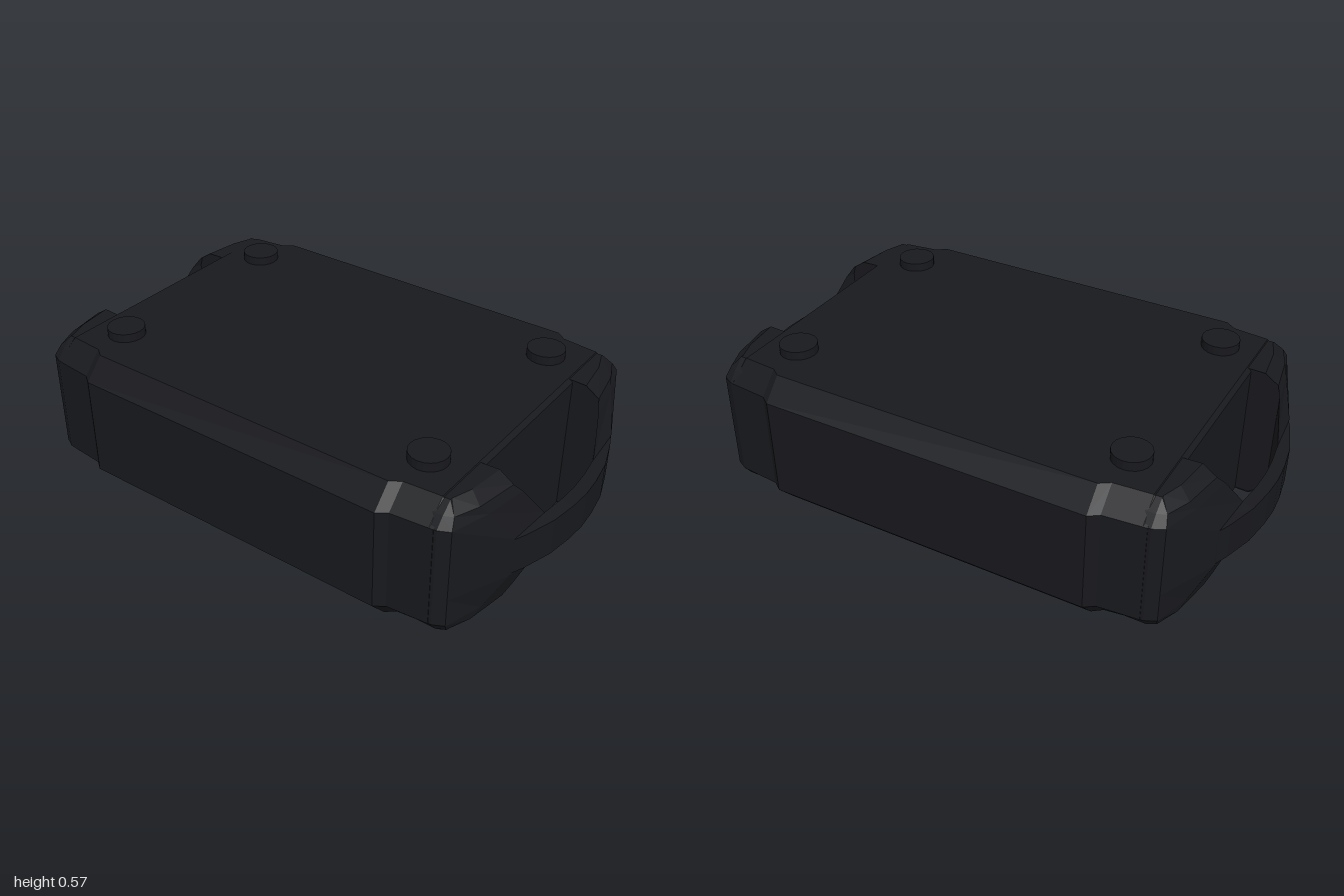
import * as THREE from 'three';

const material = new THREE.MeshStandardMaterial({ color: 0x18191d, flatShading: true });

// Closed solid through rings of [x, y, z] points, capped at both ends
function loft(rings) {
  const n = rings[0].length;
  const tris = [];
  for (let i = 0; i < rings.length - 1; i++) {
    for (let j = 0; j < n; j++) {
      const k = (j + 1) % n;
      const [a, b, c, d] = [rings[i][j], rings[i][k], rings[i + 1][k], rings[i + 1][j]];
      tris.push([a, b, c], [a, c, d]);
    }
  }
  const first = rings[0], last = rings[rings.length - 1];
  for (let j = 1; j < n - 1; j++) {
    tris.push([first[0], first[j + 1], first[j]], [last[0], last[j], last[j + 1]]);
  }
  // Turn every face outward, whichever way the rings run
  const V = (p) => new THREE.Vector3(...p);
  let volume = 0;
  for (const [a, b, c] of tris) volume += V(a).dot(V(b).cross(V(c)));
  const flat = tris.flatMap(([a, b, c]) => (volume < 0 ? [a, c, b] : [a, b, c])).flat();
  const geometry = new THREE.BufferGeometry();
  geometry.setAttribute('position', new THREE.Float32BufferAttribute(flat, 3));
  geometry.computeVertexNormals();
  return geometry;
}

// Chamfered case cross-section at x, with half depth h, bottom lift and top height
function caseRing(x, h, lift, top) {
  const half = [[0.37, lift], [h - 0.07, lift + 0.012], [h, 0.09], [h, 0.46], [h - 0.07, top]];
  const back = half.map(([z, y]) => [-z, y]).reverse();
  return [...half, ...back].map(([z, y]) => [x, y, z]);
}

// Corner guard cross-sections: y, inner x, tip, flank, corner, side depth
const guardLevels = [
  [0.014, 0.83, [0.832, 0.288], [0.815, 0.42], [0.79, 0.49], 0.50],
  [0.05, 0.88, [0.882, 0.288], [0.855, 0.44], [0.82, 0.525], 0.54],
  [0.09, 0.89, [0.90, 0.257], [0.873, 0.413], [0.83, 0.55], 0.57],
  [0.195, 0.89, [0.94, 0.17], [0.925, 0.34], [0.83, 0.55], 0.57],
  [0.34, 0.89, [0.94, 0.17], [0.925, 0.34], [0.83, 0.55], 0.57],
  [0.46, 0.89, [0.90, 0.257], [0.873, 0.413], [0.83, 0.55], 0.57],
  [0.495, 0.88, [0.882, 0.288], [0.855, 0.44], [0.82, 0.525], 0.54],
  [0.529, 0.83, [0.832, 0.288], [0.815, 0.42], [0.79, 0.49], 0.50],
];

function guardGeometry(sx, sz) {
  return loft(guardLevels.map(([y, inner, tip, flank, corner, side]) =>
    [[0.7, 0.295], [inner, 0.295], tip, flank, corner, [0.79, side], [0.7, side]]
      .map(([x, z]) => [sx * x, y, sz * z])));
}

// Bowed grip: cross-sections follow the outer and inner curve along z
function handleGeometry(sx) {
  const half = [[0.36, 0.915, 0.88], [0.29, 0.945, 0.892], [0.18, 0.98, 0.938], [0.08, 0.995, 0.951]];
  const path = [...half, [0, 1, 0.955], ...half.map(([z, o, i]) => [-z, o, i]).reverse()];
  return loft(path.map(([z, outer, inner]) => [
    [sx * inner, 0.195, z], [sx * outer, 0.2, z], [sx * outer, 0.335, z], [sx * inner, 0.34, z],
  ]));
}

export function createModel() {
  const model = new THREE.Group();
  model.name = 'case';
  const add = (name, geometry) => {
    const mesh = new THREE.Mesh(geometry, material);
    mesh.name = name;
    model.add(mesh);
    return mesh;
  };

  // Main case, stepped in slightly towards both ends
  const stations = [[0.6, 0.61, 0, 0.535], [0.635, 0.585, 0.002, 0.534],
    [0.765, 0.573, 0.01, 0.532], [0.78, 0.572, 0.011, 0.517]];
  add('body', loft([
    ...stations.map(([x, ...rest]) => caseRing(-x, ...rest)).reverse(),
    ...stations.map((s) => caseRing(...s)),
  ]));

  for (const sx of [1, -1]) {
    const side = sx > 0 ? 'left' : 'right';
    add(`${side}Handle`, handleGeometry(sx));
    for (const sz of [1, -1]) {
      const end = sz > 0 ? 'Front' : 'Back';
      add(`${side}${end}CornerGuard`, guardGeometry(sx, sz));
      // Round stacking stud on the lid
      add(`${side}${end}Stud`, new THREE.CylinderGeometry(0.067, 0.067, 0.05, 20))
        .position.set(sx * 0.635, 0.541, sz * 0.375);
    }
  }
  return model;
}
